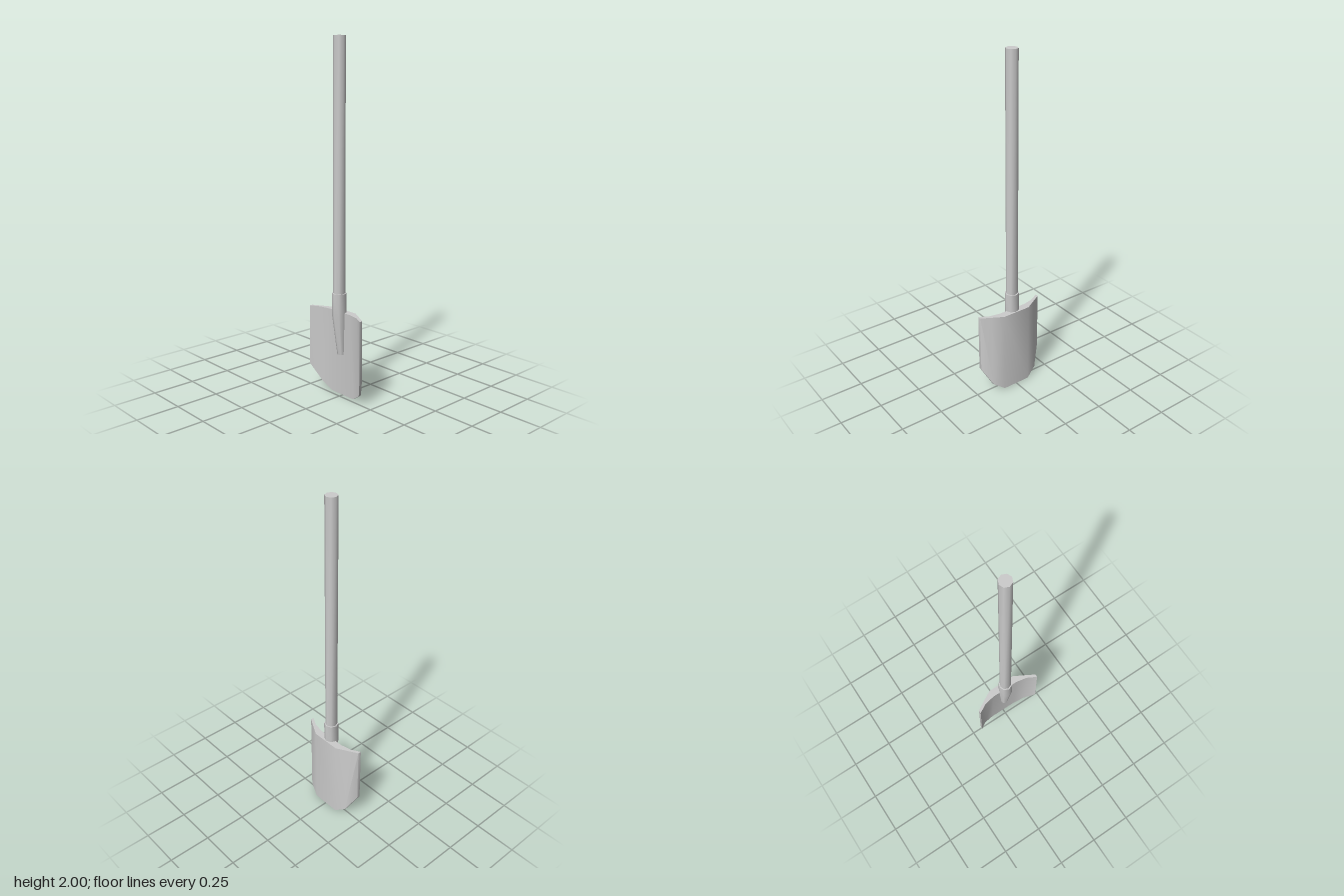
import * as THREE from 'three';
import { toCreasedNormals, mergeVertices } from 'three/addons/utils/BufferGeometryUtils.js';

const material = new THREE.MeshStandardMaterial({ color: 0xcccccc });
const CREASE = THREE.MathUtils.degToRad(50);

function addPart(group, name, geometry) {
  const mesh = new THREE.Mesh(toCreasedNormals(geometry, CREASE), material);
  mesh.name = name;
  group.add(mesh);
  return mesh;
}

// Curved blade: vertical columns, thick at the top centre and thinner toward the cutting edge
function bladeGeometry() {
  const TOP = 0.5;
  // x, bottom y, front z (top, bottom), back z (top, bottom)
  const half = [
    [0.085, 0, -0.002, -0.027, -0.045, -0.045],
    [0.15, 0.045, 0.011, -0.008, -0.009, -0.025],
    [0.205, 0.15, 0.041, 0.041, 0.022, 0.022],
  ];
  const mirrored = half.map(([x, ...rest]) => [-x, ...rest]).reverse();
  const columns = [...mirrored, ...half].map(([x, y, ft, fb, bt, bb]) => ({
    ft: [x, TOP, ft], fb: [x, y, fb], bt: [x, TOP, bt], bb: [x, y, bb],
  }));

  const positions = [];
  const quad = (a, b, c, d) => positions.push(...a, ...b, ...c, ...a, ...c, ...d);

  for (let i = 0; i < columns.length - 1; i++) {
    const p = columns[i], q = columns[i + 1];
    // the diagonal alternates so that both halves mirror each other
    if (i % 3 === 0) {
      quad(p.ft, p.fb, q.fb, q.ft);
      quad(p.bt, q.bt, q.bb, p.bb);
    } else {
      quad(p.fb, q.fb, q.ft, p.ft);
      quad(q.bt, q.bb, p.bb, p.bt);
    }
    quad(p.ft, q.ft, q.bt, p.bt); // top rim
    quad(p.fb, p.bb, q.bb, q.fb); // cutting edge
  }
  const l = columns[0], r = columns[columns.length - 1];
  quad(l.bt, l.bb, l.fb, l.ft);
  quad(r.ft, r.fb, r.bb, r.bt);

  const geometry = new THREE.BufferGeometry();
  geometry.setAttribute('position', new THREE.Float32BufferAttribute(positions, 3));
  return mergeVertices(geometry);
}

// Eight-sided socket: straight collar, then a taper that leans back into the blade
function socketGeometry() {
  const profile = [[0, 0.25], [0.021, 0.25], [0.041, 0.485], [0.041, 0.61], [0, 0.61]];
  const geometry = new THREE.LatheGeometry(profile.map(([r, y]) => new THREE.Vector2(r, y)), 8);
  const pos = geometry.attributes.position;
  for (let i = 0; i < pos.count; i++) {
    const taper = Math.max(0, (0.485 - pos.getY(i)) / 0.235);
    pos.setZ(i, pos.getZ(i) - 0.013 * taper);
  }
  return geometry;
}

export function createModel() {
  const group = new THREE.Group();
  group.name = 'shovel';

  addPart(group, 'blade', bladeGeometry());
  addPart(group, 'socket', socketGeometry());

  // Wooden shaft
  const shaft = addPart(group, 'shaft', new THREE.CylinderGeometry(0.034, 0.034, 1.4, 8));
  shaft.position.y = 1.3;

  return group;
}
